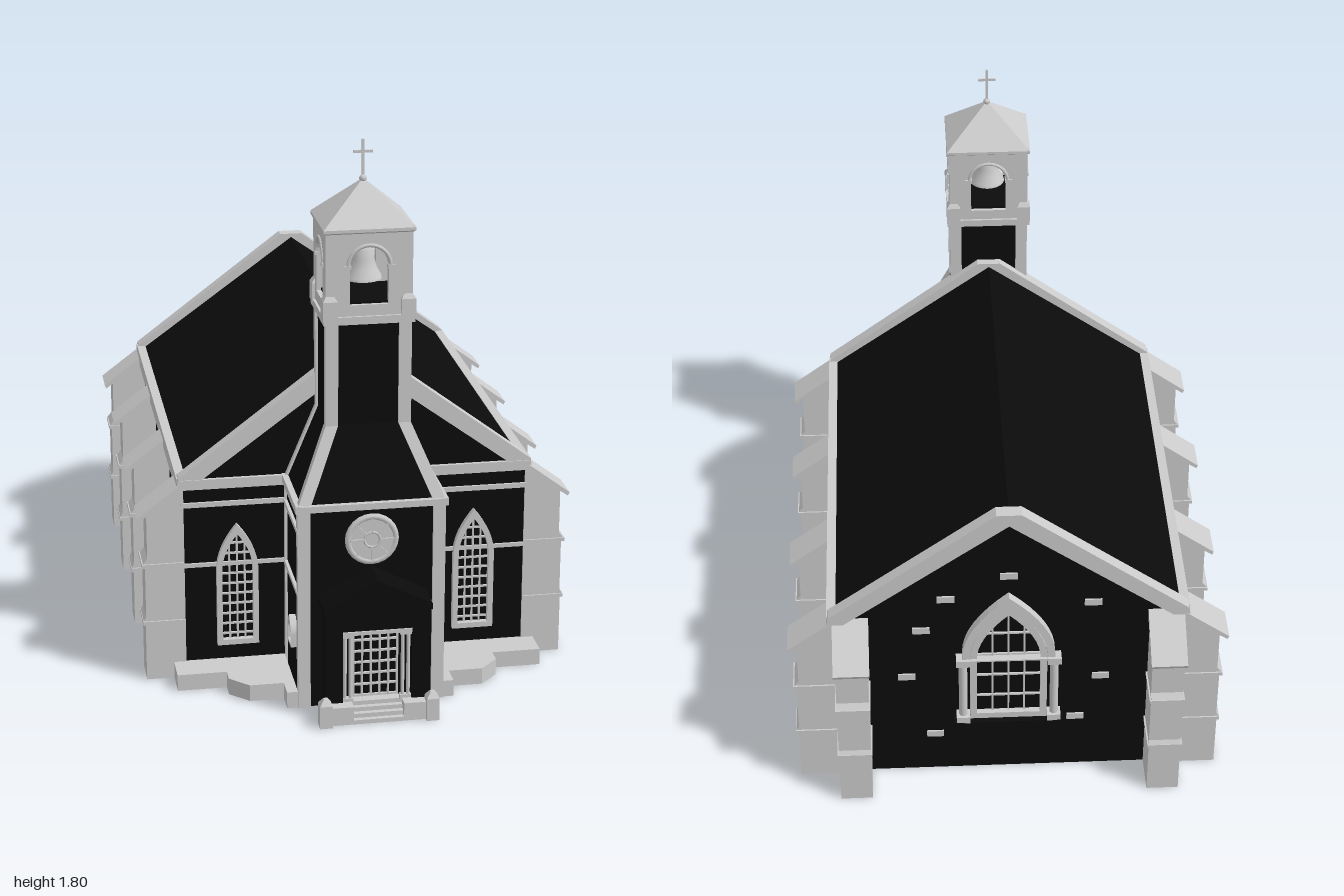
import * as THREE from 'three';

const stone = new THREE.MeshStandardMaterial({ color: 0xcccccc, side: THREE.DoubleSide });
const dark = new THREE.MeshStandardMaterial({ color: 0x0b0b0b, side: THREE.DoubleSide });

function add(parent, name, geo, mat = stone, x = 0, y = 0, z = 0) {
  const m = new THREE.Mesh(geo, mat);
  m.name = name;
  m.position.set(x, y, z);
  parent.add(m);
  return m;
}
// box given by its limits
const box = (p, name, x0, x1, y0, y1, z0, z1, mat) => add(p, name,
  new THREE.BoxGeometry(x1 - x0, y1 - y0, z1 - z0), mat, (x0 + x1) / 2, (y0 + y1) / 2, (z0 + z1) / 2);

const toShape = pts => new THREE.Shape(pts.map(p => new THREE.Vector2(p[0], p[1])));
const extrude = (shape, depth) => new THREE.ExtrudeGeometry(shape, { depth, bevelEnabled: false });

// solid through rectangular sections [y, x0, x1, z0, z1]
function loft(sections, capped = true) {
  const pos = [], idx = [];
  for (const [y, x0, x1, z0, z1] of sections) pos.push(x0, y, z1, x1, y, z1, x1, y, z0, x0, y, z0);
  for (let i = 0; i < sections.length - 1; i++) for (let k = 0; k < 4; k++) {
    const a = i * 4 + k, b = i * 4 + (k + 1) % 4;
    idx.push(a, b, b + 4, a, b + 4, a + 4);
  }
  if (capped) {
    const t = (sections.length - 1) * 4;
    idx.push(0, 3, 2, 0, 2, 1, t, t + 1, t + 2, t, t + 2, t + 3);
  }
  const g = new THREE.BufferGeometry();
  g.setAttribute('position', new THREE.Float32BufferAttribute(pos, 3));
  g.setIndex(idx);
  const flat = g.toNonIndexed();
  flat.computeVertexNormals();
  return flat;
}

// outline of a pointed arch
function archPoints(w, y0, spring, top) {
  const right = [[w, y0]];
  for (let i = 0; i <= 8; i++) right.push([w * (1 - (i / 8) ** 2), spring + (top - spring) * i / 8]);
  return [...right, ...right.slice(0, -1).reverse().map(([x, y]) => [-x, y])];
}

// pointed window facing +z: frame through the wall, lattice of bars
function latticeWindow(parent, x, z, turn, w, y0, spring, top, cols, rows, rim = 0.018) {
  const g = new THREE.Group();
  g.name = 'window';
  const s = toShape(archPoints(w, y0, spring, top));
  s.holes.push(toShape(archPoints(w - rim, y0 + rim, spring, top - rim * 1.8)));
  add(g, 'windowFrame', extrude(s, 0.055), stone, 0, 0, -0.035);
  const iw = w - rim, it = top - rim * 1.8, t = 0.003;
  for (let i = 1; i < cols; i++) {
    const bx = -iw + 2 * iw * i / cols;
    box(g, 'uprightBar', bx - t, bx + t, y0, spring + (it - spring) * Math.sqrt(1 - Math.abs(bx) / iw), -0.035, 0.007);
  }
  for (let i = 1; i < rows; i++) {
    const by = y0 + (it - y0) * i / rows;
    const h = by < spring ? iw : iw * (1 - ((by - spring) / (it - spring)) ** 2);
    box(g, 'crossBar', -h, h, by - t, by + t, -0.035, 0.007);
  }
  g.position.set(x, 0, z);
  g.rotation.y = turn;
  parent.add(g);
}

// stepped buttress growing out along its own +x
function buttress(parent, x, z, turn) {
  const g = new THREE.Group();
  g.name = 'buttress';
  const body = [[0, 0], [0.13, 0], [0.13, 0.19], [0.137, 0.195], [0.137, 0.205], [0.128, 0.22], [0.128, 0.39],
    [0.135, 0.395], [0.135, 0.405], [0.12, 0.425], [0.12, 0.575], [0, 0.66]];
  add(g, 'buttressBody', extrude(toShape(body), 0.104), stone, 0, 0, -0.052);
  const cap = [[0, 0.655], [0.145, 0.555], [0.15, 0.567], [0, 0.68]];
  add(g, 'buttressCap', extrude(toShape(cap), 0.116), stone, 0, 0, -0.058);
  for (const y of [0.2, 0.4]) box(g, 'buttressCourse', 0, 0.138, y - 0.006, y + 0.006, -0.057, 0.057);
  g.position.set(x, 0, z);
  g.rotation.y = turn;
  parent.add(g);
}

function buildNave(root) {
  const g = new THREE.Group();
  g.name = 'nave';
  root.add(g);
  const gable = toShape([[-0.56, 0], [0.56, 0], [0.56, 0.67], [0, 1.08], [-0.56, 0.67]]);
  const coping = toShape([[-0.58, 0.67], [-0.575, 0.695], [-0.04, 1.098], [0.04, 1.098], [0.575, 0.695], [0.58, 0.67],
    [0.53, 0.665], [0, 1.055], [-0.53, 0.665]]);
  add(g, 'rearWall', extrude(gable, 0.03), dark, 0, 0, -0.85);
  add(g, 'frontWall', extrude(gable, 0.03), dark, 0, 0, 0.525);
  add(g, 'rearCoping', extrude(coping, 0.045), stone, 0, 0, -0.867);
  add(g, 'frontCoping', extrude(coping, 0.045), stone, 0, 0, 0.52);
  const roof = toShape([[-0.56, 0.68], [0, 1.085], [0.56, 0.68], [0.56, 0.66], [0, 1.065], [-0.56, 0.66]]);
  add(g, 'roof', extrude(roof, 1.37), dark, 0, 0, -0.84);
  for (const s of [-1, 1]) {
    const side = new THREE.Group();
    side.name = 'naveSide';
    g.add(side);
    const strip = (name, a, b, y0, y1, mat) =>
      box(side, name, Math.min(s * a, s * b), Math.max(s * a, s * b), y0, y1, -0.85, 0.55, mat);
    strip('sideWall', 0.53, 0.56, 0, 0.67, dark);
    strip('eaves', 0.55, 0.58, 0.64, 0.69);
    for (const y of [0.07, 0.39, 0.6]) strip('stringCourse', 0.55, 0.568, y - 0.008, y + 0.008);
    for (const z of [0.315, -0.15, -0.61]) latticeWindow(side, s * 0.56, z, s * Math.PI / 2, 0.07, 0.11, 0.37, 0.53, 4, 11);
    for (const z of [0.508, 0.068, -0.395, -0.81]) buttress(side, s * 0.56, z, s > 0 ? 0 : Math.PI);
    buttress(side, s * 0.505, -0.85, Math.PI / 2);
    // front walls beside the tower
    latticeWindow(side, s * 0.39, 0.555, 0, 0.068, 0.11, 0.37, 0.53, 4, 11);
    const front = (name, y0, y1, d) => box(side, name, s > 0 ? 0.23 : -0.57, s > 0 ? 0.57 : -0.23, y0, y1, 0.54, d);
    front('frontCourse', 0.385, 0.398, 0.563);
    front('frontCourse', 0.592, 0.608, 0.563);
    front('frontCornice', 0.655, 0.688, 0.568);
    // stepped terrace around the tower foot
    const terrace = [[0.235, 0.555], [0.6, 0.555], [0.6, 0.66], [0.44, 0.66], [0.44, 0.71], [0.38, 0.77], [0.27, 0.77],
      [0.27, 0.84], [0.235, 0.84]].map(([x, z]) => [s * x, z]);
    add(side, 'terrace', extrude(toShape(terrace), 0.055).rotateX(Math.PI / 2), stone, 0, 0.055, 0);
  }
  // great rear window with flanking columns
  latticeWindow(g, 0, -0.85, Math.PI, 0.125, 0.24, 0.5, 0.73, 4, 5, 0.022);
  const hood = toShape(archPoints(0.15, 0.5, 0.52, 0.77));
  hood.holes.push(toShape(archPoints(0.125, 0.505, 0.52, 0.73)));
  add(g, 'rearHood', extrude(hood, 0.03), stone, 0, 0, -0.88);
  box(g, 'rearSill', -0.18, 0.18, 0.21, 0.24, -0.89, -0.85, dark);
  for (const s of [-1, 1]) {
    add(g, 'rearColumn', new THREE.CylinderGeometry(0.014, 0.014, 0.26, 12), stone, s * 0.148, 0.37, -0.868);
    for (const y of [0.25, 0.5]) box(g, 'columnBlock', s * 0.148 - 0.022, s * 0.148 + 0.022, y - 0.013, y + 0.013, -0.89, -0.85);
  }
  // odd stones showing on the rear wall
  for (const [x, y] of [[0, 0.84], [-0.27, 0.72], [0.28, 0.62], [-0.3, 0.4], [0.33, 0.42], [-0.22, 0.22], [0.24, 0.16], [0.2, 0.75]])
    box(g, 'wallStone', x - 0.028, x + 0.028, y - 0.012, y + 0.012, -0.856, -0.84);
}

function buildTower(root) {
  const g = new THREE.Group();
  g.name = 'tower';
  root.add(g);
  // [y, half width, front z]; the back stays upright
  const levels = [[0, 0.235, 0.845], [0.68, 0.235, 0.845], [0.92, 0.135, 0.77], [1.27, 0.135, 0.77]];
  const back = 0.545;
  add(g, 'towerWalls', loft(levels.map(([y, h, f]) => [y, 0.008 - h, h - 0.008, back + 0.004, f - 0.008]), false), dark);
  for (const s of [-1, 1]) {
    const xs = h => s > 0 ? [h - 0.04, h] : [-h, 0.04 - h];
    add(g, 'frontCorner', loft(levels.map(([y, h, f]) => [y, ...xs(h), f - 0.03, f])));
    add(g, 'backCorner', loft(levels.map(([y, h]) => [y, ...xs(h), back, back + 0.03])));
    for (const y of [0.39, 0.6]) box(g, 'towerCourse', s * 0.23 - 0.007, s * 0.23 + 0.007, y - 0.007, y + 0.007, 0.55, 0.84);
    box(g, 'towerCornice', s * 0.232 - 0.01, s * 0.232 + 0.01, 0.665, 0.69, 0.55, 0.85);
    latticeWindow(g, s * 0.228, 0.74, s * Math.PI / 2, 0.035, 0.18, 0.225, 0.28, 3, 3, 0.009);
  }
  box(g, 'frontCornice', -0.242, 0.242, 0.667, 0.688, 0.83, 0.852);
  // round window
  const rose = new THREE.Group();
  rose.name = 'roseWindow';
  rose.position.set(0, 0.565, 0.842);
  g.add(rose);
  add(rose, 'roseDisc', new THREE.CylinderGeometry(0.07, 0.07, 0.012, 24).rotateX(Math.PI / 2));
  add(rose, 'roseRim', new THREE.TorusGeometry(0.075, 0.011, 6, 24));
  add(rose, 'roseHub', new THREE.TorusGeometry(0.025, 0.004, 6, 16), stone, 0, 0, 0.006);
  for (let i = 0; i < 8; i++) {
    const a = i * Math.PI / 4;
    add(rose, 'roseSpoke', new THREE.BoxGeometry(0.045, 0.006, 0.012), stone, Math.cos(a) * 0.048, Math.sin(a) * 0.048, 0.005).rotation.z = a;
  }
}

function buildBelfry(root) {
  const g = new THREE.Group();
  g.name = 'belfry';
  g.position.z = 0.657;
  root.add(g);
  const hx = 0.135, hz = 0.118;
  box(g, 'ledge', -0.143, 0.143, 1.25, 1.275, -0.126, 0.126);
  box(g, 'belfryFloor', -0.12, 0.12, 1.3, 1.318, -0.105, 0.105, dark);
  const arch = (w, y0, top) => {
    const pts = [[-w, y0], [w, y0]];
    for (let i = 0; i <= 12; i++) pts.push([w * Math.cos(i * Math.PI / 12), top - w + w * Math.sin(i * Math.PI / 12)]);
    return toShape(pts);
  };
  for (let i = 0; i < 4; i++) {
    const face = new THREE.Group(), h = i % 2 ? hz : hx, d = i % 2 ? hx : hz;
    face.name = 'belfryFace';
    face.rotation.y = i * Math.PI / 2;
    const wall = toShape([[-h, 1.265], [h, 1.265], [h, 1.54], [-h, 1.54]]);
    wall.holes.push(arch(0.06, 1.31, 1.492));
    add(face, 'archedWall', extrude(wall, 0.02), stone, 0, 0, d - 0.02);
    add(face, 'archMoulding', new THREE.TorusGeometry(0.066, 0.006, 6, 16, Math.PI), stone, 0, 1.432, d);
    for (const s of [-1, 1]) box(face, 'impost', s * 0.069 - 0.012, s * 0.069 + 0.012, 1.424, 1.436, d - 0.02, d + 0.006);
    g.add(face);
  }
  for (const sx of [-1, 1]) for (const sz of [-1, 1]) {
    const x = sx * 0.122, z = sz * 0.105;
    add(g, 'cornerBlock', loft([[1.265, x - 0.023, x + 0.023, z - 0.023, z + 0.023], [1.325, x - 0.023, x + 0.023, z - 0.023, z + 0.023],
      [1.342, x - 0.012, x + 0.012, z - 0.012, z + 0.012]]));
    // hip ribs of the roof
    const rib = new THREE.LineCurve3(new THREE.Vector3(sx * 0.14, 1.547, sz * 0.122), new THREE.Vector3(0, 1.672, 0));
    add(g, 'hipRib', new THREE.TubeGeometry(rib, 1, 0.005, 6));
  }
  add(g, 'spireRoof', loft([[1.535, -0.135, 0.135, -0.118, 0.118], [1.54, -0.143, 0.143, -0.125, 0.125],
    [1.55, -0.143, 0.143, -0.125, 0.125], [1.675, -0.005, 0.005, -0.005, 0.005]]));
  add(g, 'finial', new THREE.SphereGeometry(0.012, 12, 8), stone, 0, 1.678, 0);
  box(g, 'crossUpright', -0.004, 0.004, 1.68, 1.8, -0.003, 0.003);
  box(g, 'crossArm', -0.03, 0.03, 1.758, 1.766, -0.003, 0.003);
  const bell = [[0.06, 1.362], [0.058, 1.372], [0.045, 1.395], [0.037, 1.425], [0.034, 1.455], [0.025, 1.474], [0, 1.482]];
  add(g, 'bell', new THREE.LatheGeometry(bell.map(p => new THREE.Vector2(...p)), 24));
  add(g, 'bellHanger', new THREE.CylinderGeometry(0.008, 0.008, 0.07, 8), stone, 0, 1.51, 0);
}

function buildPorch(root) {
  const g = new THREE.Group();
  g.name = 'porch';
  root.add(g);
  const front = [[-0.16, 0], [-0.11, 0], [-0.11, 0.3], [0.11, 0.3], [0.11, 0], [0.16, 0], [0.16, 0.38], [0, 0.46], [-0.16, 0.38]];
  add(g, 'porchWalls', extrude(toShape(front), 0.11), dark, 0, 0, 0.84);
  const roof = [[-0.172, 0.365], [-0.172, 0.385], [0, 0.472], [0.172, 0.385], [0.172, 0.365], [0, 0.452]];
  add(g, 'porchRoof', extrude(toShape(roof), 0.122), dark, 0, 0, 0.84);
  // latticed door
  box(g, 'door', -0.11, 0.11, 0.05, 0.3, 0.895, 0.905, dark);
  for (let i = 0; i <= 5; i++) box(g, 'doorUpright', -0.073 + i * 0.028, -0.067 + i * 0.028, 0.06, 0.3, 0.9, 0.915);
  for (let i = 0; i <= 6; i++) box(g, 'doorRail', -0.07, 0.07, 0.06 + i * 0.038, 0.066 + i * 0.038, 0.9, 0.913);
  box(g, 'doorLintel', -0.11, 0.11, 0.29, 0.302, 0.9, 0.955);
  for (const s of [-1, 1]) {
    for (const x of [0.083, 0.101]) {
      add(g, 'doorColumn', new THREE.CylinderGeometry(0.006, 0.006, 0.24, 10), stone, s * x, 0.175, 0.935);
      for (const y of [0.062, 0.285]) box(g, 'columnBlock', s * x - 0.009, s * x + 0.009, y - 0.008, y + 0.008, 0.926, 0.944);
    }
    // end posts of the steps
    const c = s * 0.17;
    add(g, 'stepPost', loft([[0, c - 0.02, c + 0.02, 0.96, 1], [0.075, c - 0.02, c + 0.02, 0.96, 1], [0.095, c - 0.006, c + 0.006, 0.974, 0.986]]));
    box(g, 'stepWall', s * 0.12 - 0.04, s * 0.12 + 0.04, 0, 0.06, 0.945, 0.985);
  }
  for (let i = 0; i < 4; i++) box(g, 'step', -0.08, 0.08, i * 0.014, (i + 1) * 0.014, 0.88, 0.985 - i * 0.016);
}

export function createModel() {
  const root = new THREE.Group();
  root.name = 'chapel';
  buildNave(root);
  buildTower(root);
  buildBelfry(root);
  buildPorch(root);
  return root;
}
